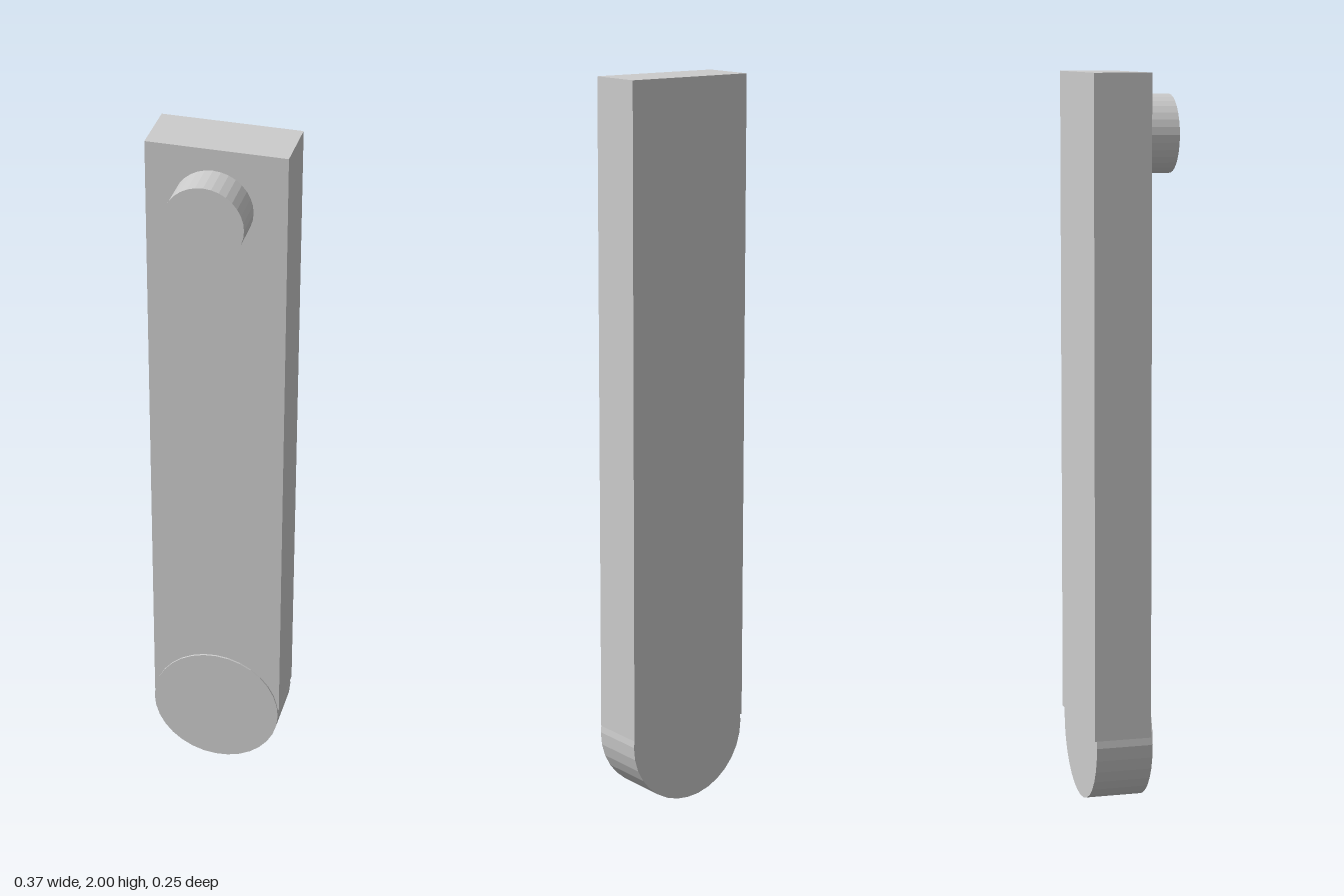
import * as THREE from 'three';

const material = new THREE.MeshStandardMaterial({ color: 0xcccccc, flatShading: true });

function addPart(group, name, geometry, x, y, z) {
  const mesh = new THREE.Mesh(geometry, material);
  mesh.name = name;
  mesh.position.set(x, y, z);
  group.add(mesh);
}

// Cylinder lying along z
function disc(radius, depth) {
  return new THREE.CylinderGeometry(radius, radius, depth, 32).rotateX(Math.PI / 2);
}

export function createModel() {
  const group = new THREE.Group();
  group.name = 'leverArm';

  // Long flat bar, cut off square at the top
  const bottom = 0.207;
  addPart(group, 'bar', new THREE.BoxGeometry(0.374, 2 - bottom, 0.157), 0, (2 + bottom) / 2, -0.0485);

  // Rounded lower end, standing slightly proud of the bar's front
  addPart(group, 'roundedEnd', disc(0.186, 0.157), -0.001, 0.186, -0.0435);

  // Round peg near the top
  addPart(group, 'peg', disc(0.106, 0.107), -0.008, 1.835, 0.0735);

  return group;
}
